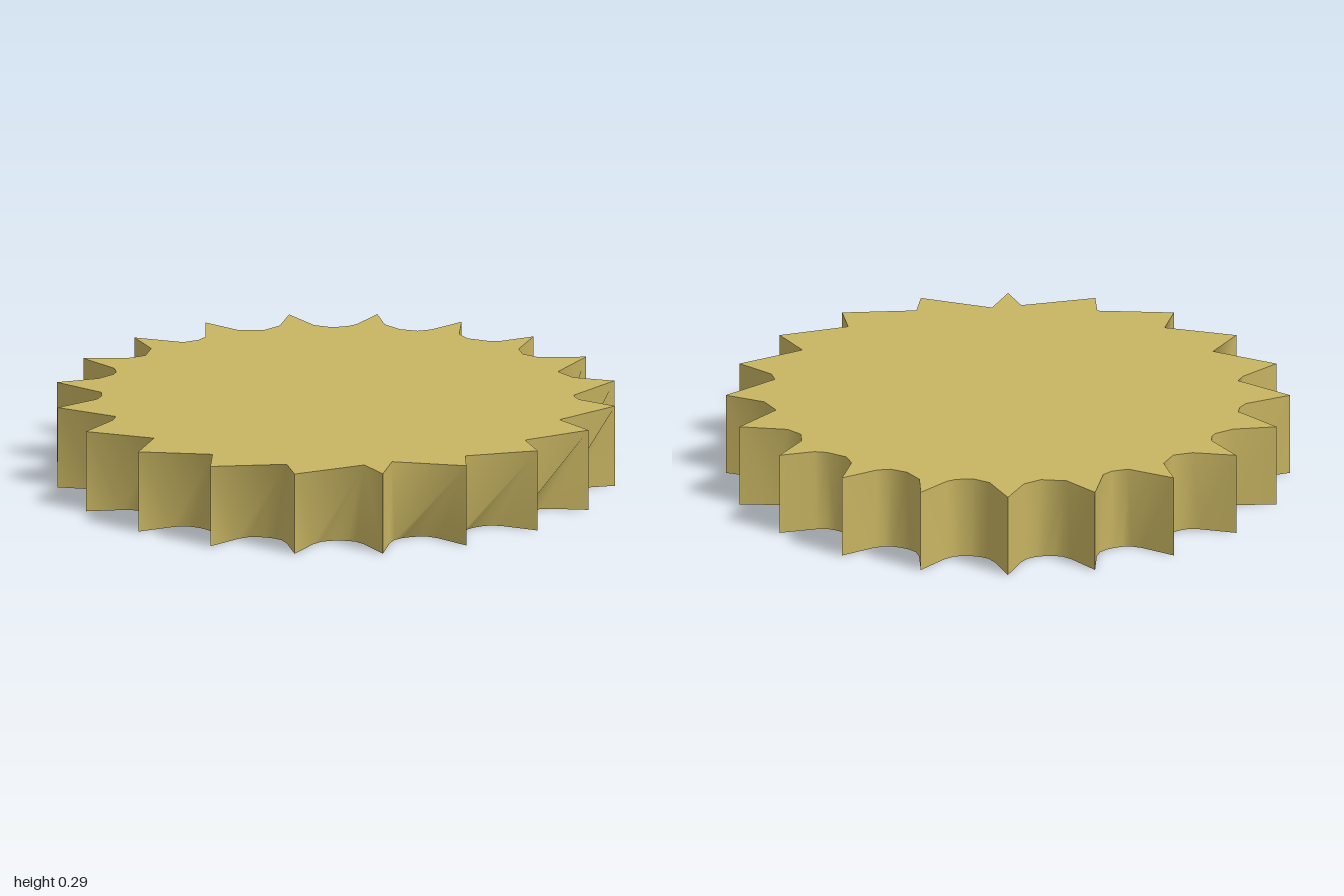
import * as THREE from 'three';

const HEIGHT = 0.295;
const TEETH = 20;
const STEP = (Math.PI * 2) / TEETH;

// Lower scallop: degrees from the middle of the notch, radius
const SCALLOP = [[-5.9, 0.875], [-4.2, 0.842], [-2.2, 0.829], [0, 0.825], [2.2, 0.829], [4.2, 0.842], [5.9, 0.875]];

// Upper edge of each notch: x, z points between two tips, going from +x towards +z
const UPPER = [
  [[0.853, 0.21]],
  [[0.75, 0.48]],
  [[0.55, 0.66]],
  [[0.48, 0.74]],
  [[0.23, 0.855]],
  [[-0.06, 0.862]],
  [[-0.335, 0.775]],
  [[-0.565, 0.64], [-0.575, 0.595]],
  [[-0.73, 0.43], [-0.735, 0.385], [-0.755, 0.35]],
  [[-0.84, 0.2], [-0.815, 0.13], [-0.82, 0.1], [-0.845, 0.065]],
  [[-0.86, -0.07], [-0.818, -0.13], [-0.838, -0.215]],
  [[-0.77, -0.335], [-0.735, -0.385], [-0.73, -0.43]],
  [[-0.66, -0.555], [-0.58, -0.6], [-0.556, -0.67]],
  [[-0.45, -0.73], [-0.38, -0.735], [-0.335, -0.775], [-0.32, -0.81]],
  [[-0.23, -0.85], [-0.155, -0.82], [-0.09, -0.83], [-0.055, -0.865]],
  [[0.06, -0.86], [0.11, -0.825], [0.19, -0.83], [0.23, -0.85]],
  [[0.33, -0.79], [0.37, -0.74], [0.435, -0.73]],
  [[0.58, -0.6], [0.66, -0.56]],
  [[0.76, -0.36], [0.8, -0.325]],
  [[0.85, -0.07]],
];

const polar = (angle, r) => [Math.cos(angle) * r, Math.sin(angle) * r];

function makeGeometry(points, index) {
  const g = new THREE.BufferGeometry();
  g.setAttribute('position', new THREE.Float32BufferAttribute(points.flat(), 3));
  g.setIndex(index);
  g.computeVertexNormals();
  return g;
}

// Wall of one notch, joining a lower and an upper edge of different point counts
function notchWall(lower, upper, middle) {
  const points = [
    ...lower.map(([x, z]) => [x, 0, z]),
    ...upper.map(([x, z]) => [x, HEIGHT, z]),
  ];
  // angle measured from the middle of the notch
  const offset = ([x, z]) => {
    const a = Math.atan2(z, x) - middle;
    return Math.atan2(Math.sin(a), Math.cos(a));
  };
  const n = lower.length;
  const index = [];
  let i = 0;
  let j = 0;
  while (i < n - 1 || j < upper.length - 1) {
    const moveLower = j === upper.length - 1
      || (i < n - 1 && offset(lower[i + 1]) < offset(upper[j + 1]));
    if (moveLower) {
      index.push(i, n + j, i + 1);
      i++;
    } else {
      index.push(i, n + j, n + j + 1);
      j++;
    }
  }
  return makeGeometry(points, index);
}

// Flat face as a fan around the centre
function fanFace(outline, y, up) {
  const points = [[0, y, 0], ...outline.map(([x, z]) => [x, y, z])];
  const index = [];
  for (let i = 0; i < outline.length; i++) {
    const a = i + 1;
    const b = ((i + 1) % outline.length) + 1;
    index.push(0, up ? b : a, up ? a : b);
  }
  return makeGeometry(points, index);
}

export function createModel() {
  const group = new THREE.Group();
  group.name = 'toothedDisc';
  const brass = new THREE.MeshStandardMaterial({ color: 0xc8b562 });
  brass.name = 'brass';

  const add = (name, geometry, parent = group) => {
    const mesh = new THREE.Mesh(geometry, brass);
    mesh.name = name;
    parent.add(mesh);
  };

  const rim = new THREE.Group();
  rim.name = 'scallopedRim';
  group.add(rim);

  const lowerOutline = [];
  const upperOutline = [];
  for (let k = 0; k < TEETH; k++) {
    const middle = (k + 0.5) * STEP;
    const start = polar(k * STEP, 1);
    const end = polar((k + 1) * STEP, 1);
    const scallop = SCALLOP.map(([deg, r]) => polar(middle + THREE.MathUtils.degToRad(deg), r));
    const lower = [start, ...scallop, end];
    const upper = [start, ...UPPER[k], end];
    add('notchWall' + (k + 1), notchWall(lower, upper, middle), rim);
    lowerOutline.push(...lower.slice(0, -1));
    upperOutline.push(...upper.slice(0, -1));
  }

  add('topFace', fanFace(upperOutline, HEIGHT, true));
  add('bottomFace', fanFace(lowerOutline, 0, false));
  return group;
}
